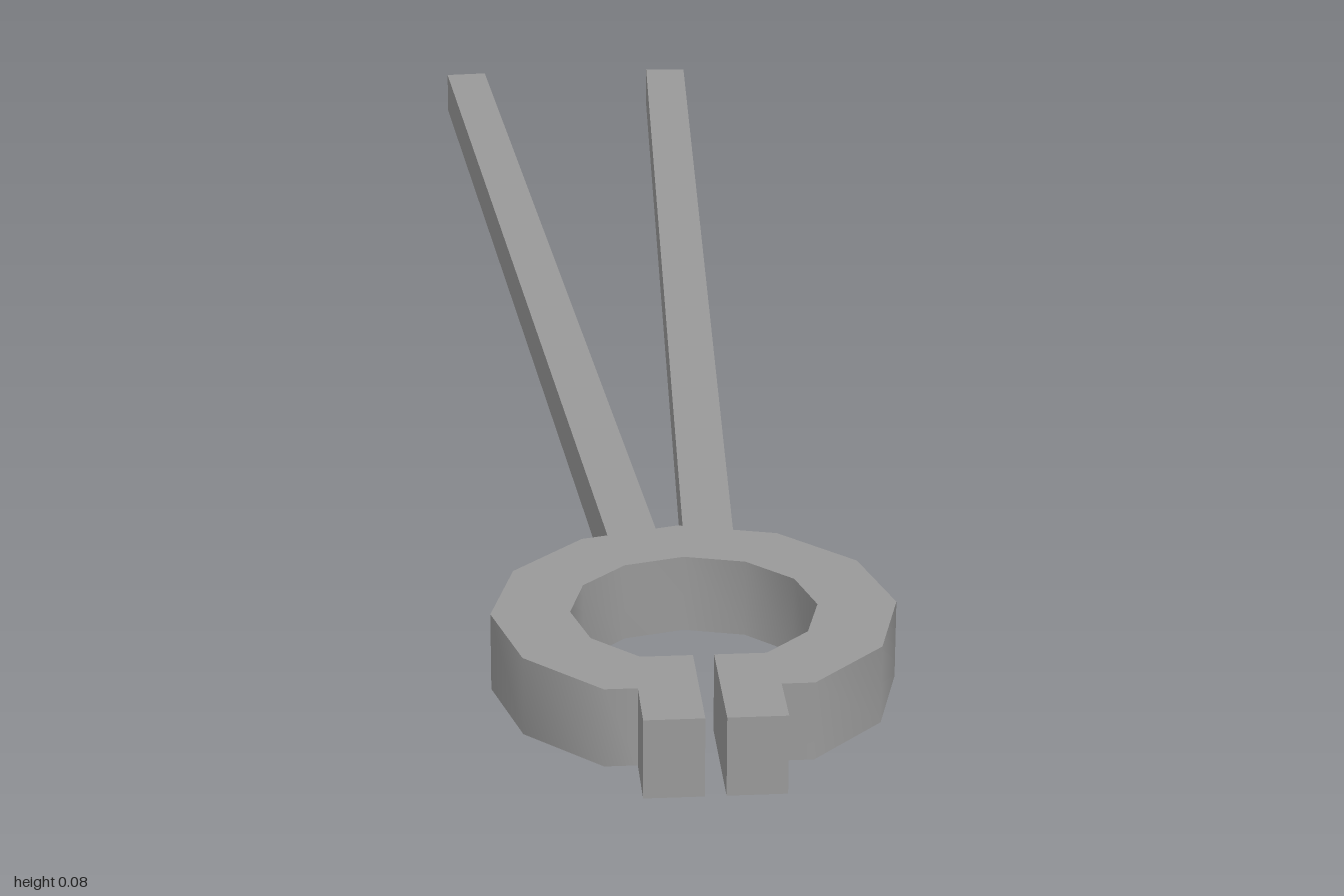
import * as THREE from 'three';
import { toCreasedNormals } from 'three/addons/utils/BufferGeometryUtils.js';

const HEIGHT = 0.08;
const CENTRE_Z = 0.763;
const OUTER = 0.197;
const INNER = 0.12;
const material = new THREE.MeshStandardMaterial({ color: 0x999999 });

// Twelve-sided arc, running from the front gap (+z) round the back and to the gap again
function arc(radius) {
  const points = [];
  for (let i = 1; i <= 11; i++) {
    const a = (i * Math.PI) / 6;
    points.push(new THREE.Vector2(radius * Math.sin(a), CENTRE_Z + radius * Math.cos(a)));
  }
  return points;
}

// Split ring with two clamp lugs at the front, in one outline
function makeClampRing() {
  const gap = 0.01, lug = 0.067, front = 1;
  const outerZ = CENTRE_Z + OUTER * Math.cos(Math.PI / 6);
  const innerZ = CENTRE_Z + INNER * Math.cos(Math.PI / 6);
  const p = (x, z) => new THREE.Vector2(x, z);
  const shape = new THREE.Shape([
    p(gap, innerZ), p(gap, front), p(lug, front), p(lug, outerZ),
    ...arc(OUTER),
    p(-lug, outerZ), p(-lug, front), p(-gap, front), p(-gap, innerZ),
    ...arc(INNER).reverse(),
  ]);
  const geometry = new THREE.ExtrudeGeometry(shape, { depth: HEIGHT, bevelEnabled: false });
  geometry.rotateX(Math.PI / 2).translate(0, HEIGHT, 0);
  // Smooth round the ring, sharp at the lugs and rims
  const ring = new THREE.Mesh(toCreasedNormals(geometry, 1), material);
  ring.name = 'clampRing';
  return ring;
}

// Square rod between two points on the ground plan, at mid height of the ring
function makeRod(name, x0, z0, x1, z1) {
  const size = 0.051;
  const length = Math.hypot(x1 - x0, z1 - z0);
  const rod = new THREE.Mesh(new THREE.BoxGeometry(size, size, length), material);
  rod.position.set((x0 + x1) / 2, HEIGHT / 2, (z0 + z1) / 2);
  rod.rotation.y = Math.atan2(x0 - x1, z0 - z1);
  rod.name = name;
  return rod;
}

export function createModel() {
  const model = new THREE.Group();
  model.name = 'clampWithRods';
  model.add(
    makeClampRing(),
    makeRod('leftRod', 0.031, 0.585, 0.112, -0.999),
    makeRod('rightRod', -0.042, 0.585, -0.16, -0.998),
  );
  return model;
}
